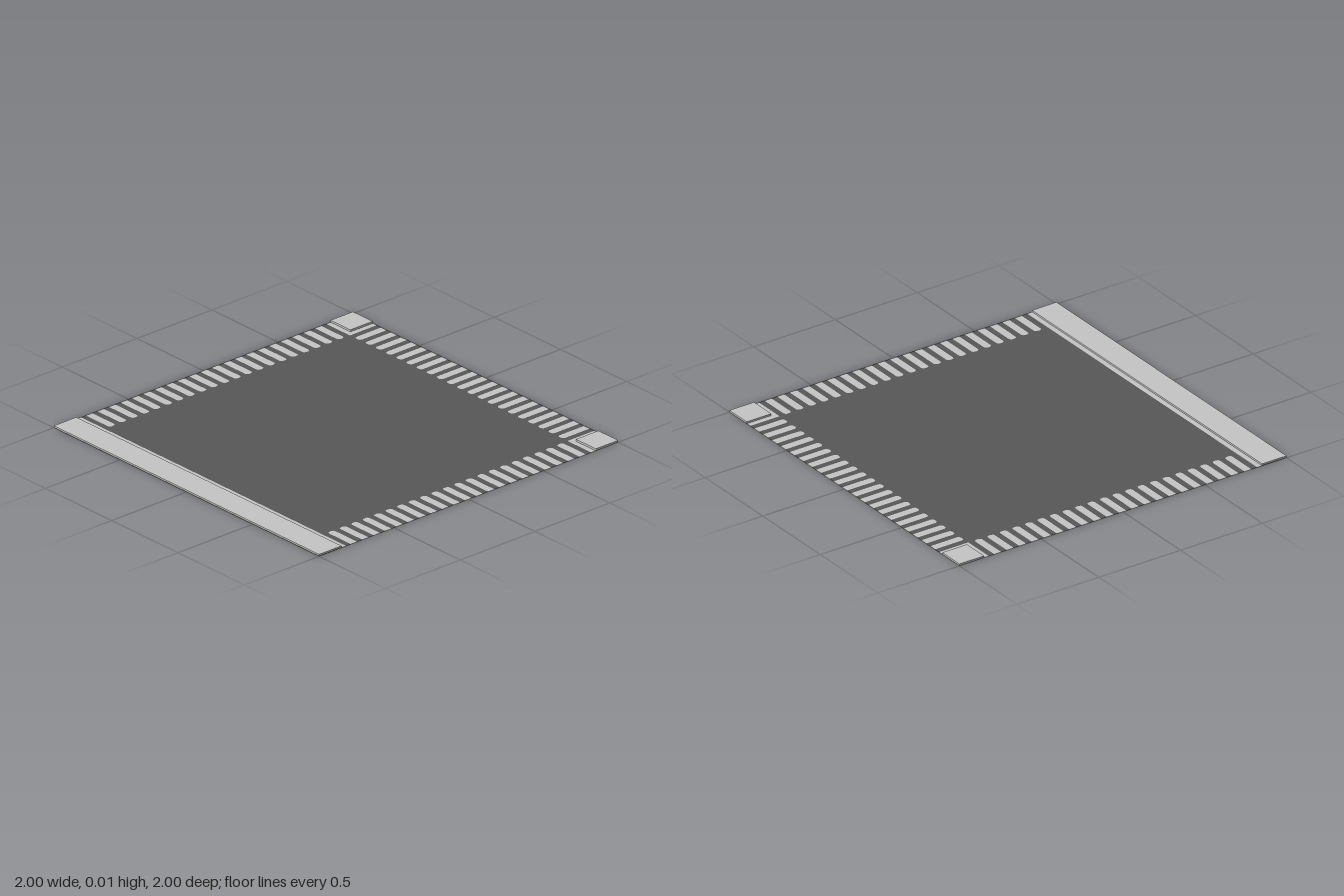
import * as THREE from 'three';

const CURB = 0.85;      // inner edge of the raised pavement
const GUTTER = 0.82;    // inner edge of the flat gutter
const HEIGHT = 0.011;   // pavement height
const STRIPES = 21, PITCH = 0.0765, HALF = 0.021, CUT = 0.014;

export function createModel() {
  const model = new THREE.Group();
  model.name = 'roadJunction';

  const asphalt = new THREE.MeshStandardMaterial({ color: 0x575757, side: THREE.DoubleSide });
  asphalt.name = 'asphalt';
  const concrete = new THREE.MeshStandardMaterial({ color: 0xc4c4c4, side: THREE.DoubleSide });
  concrete.name = 'pale concrete';

  const add = (parent, name, geometry, material) => {
    const mesh = new THREE.Mesh(geometry, material);
    mesh.name = name;
    parent.add(mesh);
    return mesh;
  };

  // Flat horizontal face from outline points (x, -z)
  const flat = (points, y = 0) =>
    new THREE.ShapeGeometry(new THREE.Shape(points)).rotateX(-Math.PI / 2).translate(0, y, 0);

  const rect = (x0, x1, y0, y1) =>
    [[x0, y0], [x1, y0], [x1, y1], [x0, y1]].map(p => new THREE.Vector2(...p));

  const slab = (x0, x1, z0, z1, y0) =>
    new THREE.BoxGeometry(x1 - x0, HEIGHT - y0, z1 - z0)
      .translate((x0 + x1) / 2, (HEIGHT + y0) / 2, (z0 + z1) / 2);

  // Outline of one crossing stripe: square at the tile edge, rounded inside
  const depth = 1 - GUTTER;
  const profile = [
    [-HALF, 0], [-HALF, depth - CUT], [-HALF + CUT * 0.3, depth - CUT * 0.3], [-HALF + CUT, depth],
    [HALF - CUT, depth], [HALF - CUT * 0.3, depth - CUT * 0.3], [HALF, depth - CUT], [HALF, 0],
  ];

  // Each crossing turns (distance along the edge, depth inward) into a position
  const crossings = [
    { name: 'frontCrossing', place: (a, d) => new THREE.Vector2(a, -1 + d) },
    { name: 'sideCrossing', place: (a, d) => new THREE.Vector2(1 - d, a) },
    { name: 'backCrossing', place: (a, d) => new THREE.Vector2(-a, 1 - d) },
  ];

  // Stripes fill matching notches in the road outline
  const outline = [];
  for (const { name, place } of crossings) {
    const group = new THREE.Group();
    group.name = name;
    model.add(group);
    outline.push(place(-GUTTER, 0));
    for (let i = 0; i < STRIPES; i++) {
      const centre = (i - (STRIPES - 1) / 2) * PITCH;
      const points = profile.map(([a, d]) => place(centre + a, d));
      outline.push(...points);
      add(group, 'crossingStripe', flat(points), concrete);
    }
    outline.push(place(GUTTER, 0));
    // Inner corner of the road beside the pavement corner
    if (name !== 'backCrossing') outline.push(place(GUTTER, depth));
  }
  add(model, 'roadSurface', flat(outline), asphalt);

  // Long pavement with its gutter and the road base beneath
  add(model, 'pavementBase', flat(rect(-1, -GUTTER, -1, 1)), asphalt);
  add(model, 'longGutter', flat(rect(-CURB, -GUTTER, -1, 1), 0.0015), concrete);
  add(model, 'longPavement', slab(-1, -CURB, -1, 1, 0.0015), concrete);

  // Pavement corners with L-shaped gutters
  for (const s of [1, -1]) {
    add(model, 'cornerPavement', slab(CURB, 1, s > 0 ? CURB : -1, s > 0 ? 1 : -CURB, 0), concrete);
    const bend = [[GUTTER, 1], [GUTTER, GUTTER], [1, GUTTER], [1, CURB], [CURB, CURB], [CURB, 1]];
    add(model, 'cornerGutter', flat(bend.map(([x, y]) => new THREE.Vector2(x, s * y))), concrete);
  }

  return model;
}
